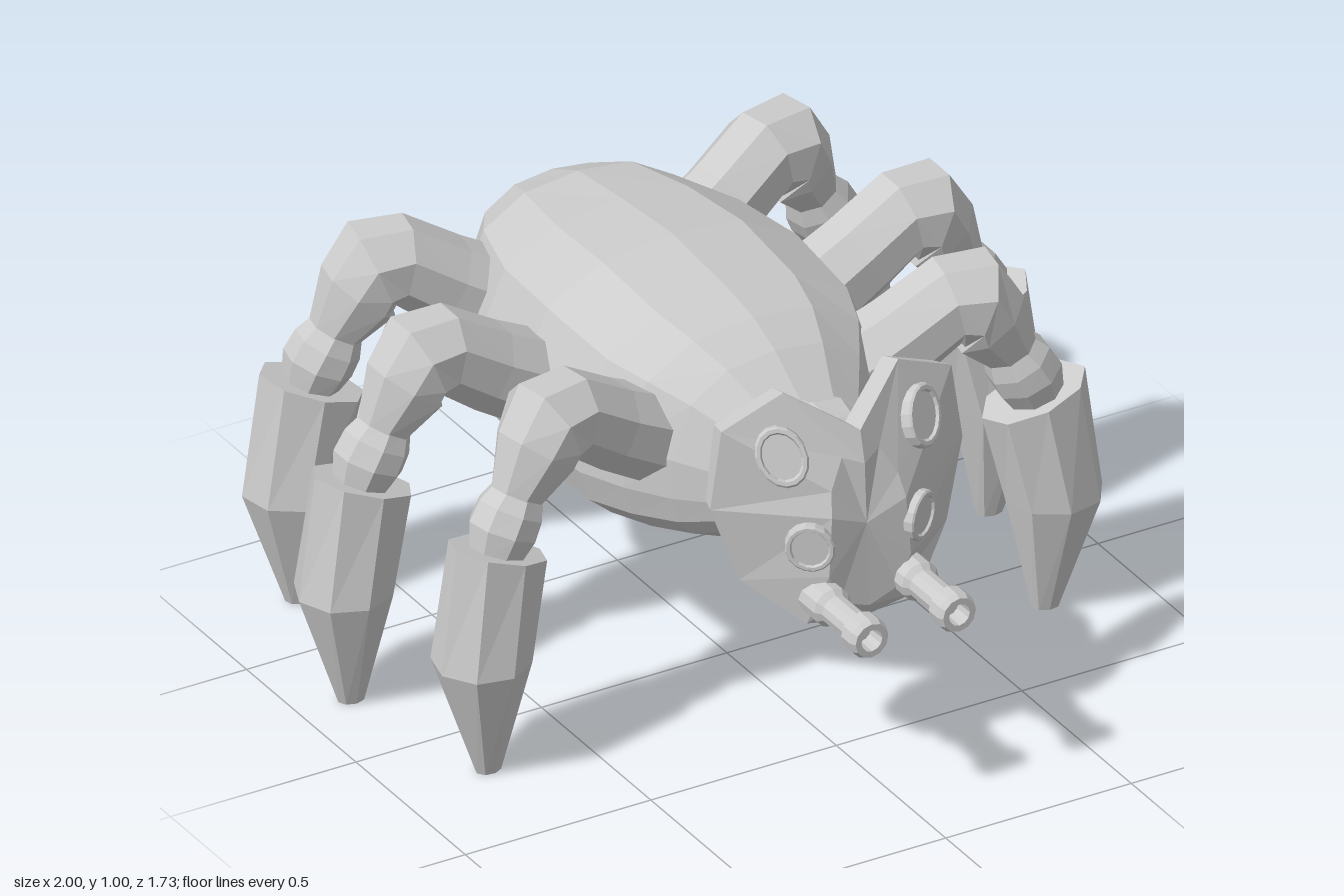
import * as THREE from 'three';

const material = new THREE.MeshStandardMaterial({ color: 0xcccccc, flatShading: true });

function addMesh(parent, geometry, name) {
  const mesh = new THREE.Mesh(geometry, material);
  mesh.name = name;
  parent.add(mesh);
  return mesh;
}

// Closed skin through rings of equal point count, capped at both ends and wound outwards.
function loft(rings) {
  const n = rings[0].length;
  const points = rings.flat();
  const faces = [];
  for (let i = 0; i < rings.length - 1; i++) {
    for (let j = 0; j < n; j++) {
      const a = i * n + j, b = i * n + (j + 1) % n;
      faces.push([a, b, b + n], [a, b + n, a + n]);
    }
  }
  for (const end of [0, rings.length - 1]) {
    const centre = new THREE.Vector3();
    rings[end].forEach((p) => centre.addScaledVector(p, 1 / n));
    const c = points.push(centre) - 1;
    for (let j = 0; j < n; j++) {
      const a = end * n + j, b = end * n + (j + 1) % n;
      faces.push(end === 0 ? [c, b, a] : [c, a, b]);
    }
  }
  let volume = 0;
  const cross = new THREE.Vector3();
  for (const [a, b, c] of faces) volume += points[a].dot(cross.crossVectors(points[b], points[c]));
  if (volume < 0) faces.forEach((f) => f.reverse());
  const geometry = new THREE.BufferGeometry().setFromPoints(points);
  geometry.setIndex(faces.flat());
  const flat = geometry.toNonIndexed();
  flat.computeVertexNormals();
  return flat;
}

// Mirrors a half outline (first and last points on the centre line) into a full ring.
function mirrorRing(half) {
  const right = half.map((p) => new THREE.Vector3(...p));
  const left = right.slice(1, -1).reverse().map((p) => new THREE.Vector3(-p.x, p.y, p.z));
  return [...right, ...left];
}

// Half profile of the trunk: share of the half width, share of the height
const trunkProfile = [[0, 1], [0.45, 0.965], [0.8, 0.83], [0.97, 0.55], [0.98, 0.34], [0.92, 0.2], [0.77, 0.11], [0.4, 0.025], [0, 0]];

// Stations: z, half width, top, bottom
function trunk(stations) {
  return loft(stations.map(([z, w, top, bottom]) =>
    mirrorRing(trunkProfile.map(([x, t]) => [x * w, bottom + (top - bottom) * t, z]))));
}

// Leg stations: distance outwards, height, radius, heading in degrees, sideways radius
const SIDES = 8;
function limb(stations, phase) {
  return loft(stations.map(([u, y, r, heading, sideways = r]) => {
    const a = THREE.MathUtils.degToRad(heading);
    return Array.from({ length: SIDES }, (_, i) => {
      const t = phase + i * 2 * Math.PI / SIDES;
      const c = r * Math.cos(t) / Math.cos(phase);
      const s = sideways * Math.sin(t) / Math.cos(phase);
      return new THREE.Vector3(u - Math.sin(a) * c, y + Math.cos(a) * c, s);
    });
  }));
}

function lathe(profile, segments) {
  return new THREE.LatheGeometry(profile.map(([r, h]) => new THREE.Vector2(r, h)), segments);
}

export function createModel() {
  const model = new THREE.Group();
  model.name = 'beetleWalker';

  // Body, ending in an upright ridge at the back, and neck
  addMesh(model, trunk([
    [-0.865, 0.02, 0.79, 0.61],
    [-0.80, 0.225, 0.90, 0.53],
    [-0.68, 0.32, 0.955, 0.455],
    [-0.48, 0.395, 0.98, 0.415],
    [-0.25, 0.42, 1.0, 0.40],
    [0, 0.405, 0.98, 0.405],
    [0.12, 0.355, 0.96, 0.42],
    [0.22, 0.285, 0.92, 0.44],
    [0.31, 0.215, 0.86, 0.49],
    [0.40, 0.15, 0.80, 0.55],
  ]), 'body');
  addMesh(model, trunk([
    [0.32, 0.15, 0.84, 0.60],
    [0.39, 0.17, 0.865, 0.57],
    [0.47, 0.14, 0.86, 0.59],
    [0.55, 0.11, 0.81, 0.63],
  ]), 'neck');

  // Mask-shaped head, hollowed at the back
  const head = new THREE.Group();
  head.name = 'head';
  model.add(head);
  const rim = [[0, 0.90, 0.61], [0.155, 1.0, 0.52], [0.31, 0.93, 0.50], [0.34, 0.73, 0.50],
    [0.28, 0.54, 0.53], [0.15, 0.43, 0.62], [0, 0.39, 0.60]];
  const rimBackZ = [0.54, 0.46, 0.44, 0.45, 0.48, 0.545, 0.55];
  const brow = [[0, 0.82, 0.63], [0.05, 0.84, 0.61], [0.09, 0.77, 0.63], [0.10, 0.71, 0.65],
    [0.11, 0.56, 0.655], [0.08, 0.48, 0.65], [0, 0.45, 0.65]];
  const rimBack = rim.map(([x, y], i) => [x * 0.95, 0.7 + (y - 0.7) * 0.94, rimBackZ[i]]);
  const hollow = rim.map(([x, y]) => [x * 0.4, 0.69 + (y - 0.69) * 0.45, 0.54]);
  addMesh(head, loft([hollow, rimBack, rim, brow].map(mirrorRing)), 'mask');

  // Oval eyes and snout tubes, mirrored
  const eyes = [
    { at: [0.19, 0.865, 0.572], facing: [0.42, 0.32, 0.85], size: [0.06, 0.06, 0.077] },
    { at: [0.15, 0.64, 0.634], facing: [0.52, 0, 0.85], size: [0.058, 0.05, 0.062] },
  ];
  const eyeGeometry = lathe([[1, -0.5], [1, 0.12], [0.93, 0.2], [0.8, 0.2], [0.74, 0.08], [0, 0.08]], 16);
  const tubeGeometry = lathe([[0, 0], [0.05, 0], [0.05, 0.08], [0.038, 0.095], [0.038, 0.195],
    [0.051, 0.205], [0.051, 0.245], [0.044, 0.26], [0.028, 0.26], [0.026, 0.21], [0, 0.21]], 12);
  const up = new THREE.Vector3(0, 1, 0);
  for (const side of [1, -1]) {
    for (const { at, facing, size } of eyes) {
      const eye = addMesh(head, eyeGeometry, 'eye');
      eye.position.set(side * at[0], at[1], at[2]);
      eye.quaternion.setFromUnitVectors(up, new THREE.Vector3(side * facing[0], facing[1], facing[2]).normalize());
      eye.scale.set(...size);
    }
    const tube = addMesh(head, tubeGeometry, 'snoutTube');
    tube.position.set(side * 0.118, 0.495, 0.603);
    tube.rotation.x = Math.PI / 2;
  }

  // Legs: arched upper part, ankle collar and pointed foot
  const flatTop = Math.PI / SIDES;
  const upperLeg = limb([
    [0.04, 0.70, 0.108, 28], [0.20, 0.79, 0.10, 30], [0.315, 0.865, 0.10, 12],
    [0.385, 0.86, 0.11, -22], [0.415, 0.80, 0.098, -52], [0.475, 0.70, 0.06, -60],
  ], flatTop);
  const ankle = limb([
    [0.46, 0.72, 0.055, -60], [0.49, 0.67, 0.077, -62], [0.515, 0.625, 0.08, -66], [0.54, 0.56, 0.06, -70],
  ], flatTop);
  const foot = limb([
    [0.53, 0.575, 0.135, -71, 0.1], [0.58, 0.30, 0.12, -90, 0.118], [0.56, 0, 0.034, -90, 0.027],
  ], 0);
  const mounts = [
    { name: 'frontLeg', x: 0.2, z: 0.085, yaw: 10 },
    { name: 'middleLeg', x: 0.3, z: -0.26, yaw: 0 },
    { name: 'rearLeg', x: 0.18, z: -0.605, yaw: -12 },
  ];
  for (const side of [1, -1]) {
    for (const { name, x, z, yaw } of mounts) {
      const leg = new THREE.Group();
      leg.name = (side > 0 ? 'left ' : 'right ') + name;
      leg.position.set(side * x, 0, z);
      // Each leg is symmetric front to back, so a half turn mirrors it
      leg.rotation.y = THREE.MathUtils.degToRad(side > 0 ? -yaw : 180 + yaw);
      addMesh(leg, upperLeg, 'upperLeg');
      addMesh(leg, ankle, 'ankle');
      addMesh(leg, foot, 'foot');
      model.add(leg);
    }
  }
  return model;
}
